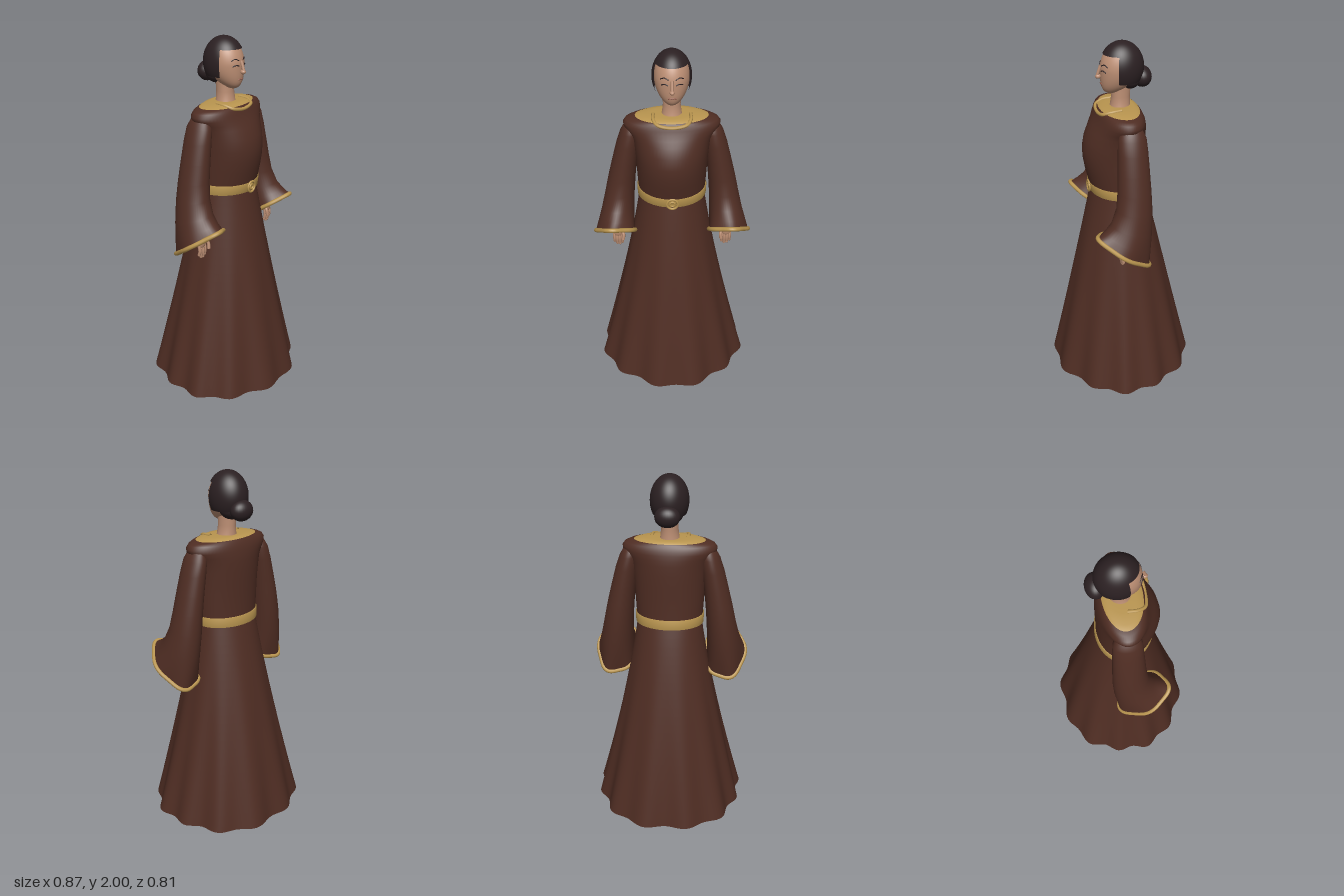
import * as THREE from 'three';

const V = (x, y, z) => new THREE.Vector3(x, y, z);
const paint = (name, color, side = THREE.FrontSide) => {
  const m = new THREE.MeshStandardMaterial({ color, side });
  m.name = name;
  return m;
};

// Closed-ring loft: point(j, a) gives the ring point at angle a; rings run upward
function loft(rings, sides, point) {
  const pos = [], idx = [];
  for (let j = 0; j < rings; j++) {
    for (let i = 0; i < sides; i++) {
      const p = point(j, (i / sides) * Math.PI * 2);
      pos.push(p.x, p.y, p.z);
      if (j === rings - 1) continue;
      const n = (i + 1) % sides, a = j * sides + i, b = j * sides + n;
      idx.push(a, a + sides, b, b, a + sides, b + sides);
    }
  }
  const g = new THREE.BufferGeometry();
  g.setAttribute('position', new THREE.Float32BufferAttribute(pos, 3));
  g.setIndex(idx);
  g.computeVertexNormals();
  return g;
}

// Horizontal oval with separate front and back depth; row = [y, halfWidth, front, back]
const oval = ([y, w, f, b], a) => V(w * Math.cos(a), y, Math.sin(a) * (Math.sin(a) > 0 ? f : b));
const ovalLoft = (rows, sides = 64) => loft(rows.length, sides, (j, a) => oval(rows[j], a));
const tube = (pts, r, closed = false, n = 24) =>
  new THREE.TubeGeometry(new THREE.CatmullRomCurve3(pts, closed), n, r, 8, closed);

// Face surface rules, shared by the head and its features
const FACE_Y = 1.868;
const jaw = (Y) => (Y < 0 ? 1 - 0.12 * Y * Y : 1);
const faceDepth = (Y, Z) => 0.1 * Z + (Y < 0 ? 0.045 * Y * Y : -0.012 * Y);
function onFace(x, y, lift = 0) {
  const Y = (y - FACE_Y) / 0.13, X = x / (0.088 * jaw(Y));
  return V(x, y, faceDepth(Y, Math.sqrt(Math.max(0, 1 - X * X - Y * Y))) + lift);
}

export function createModel() {
  const model = new THREE.Group();
  model.name = 'robedFigure';
  const robe = paint('brown robe', 0x4f2d23, THREE.DoubleSide);
  const gold = paint('gold trim', 0xb9954f, THREE.DoubleSide);
  const skin = paint('skin', 0xbd8f74);
  const hair = paint('dark hair', 0x2b2022, THREE.DoubleSide);
  const lip = paint('lips', 0x96604f);

  const add = (name, geo, mat, parent = model) => {
    const m = new THREE.Mesh(geo, mat);
    m.name = name;
    parent.add(m);
    return m;
  };
  const ball = (name, mat, p, r, parent = model) => {
    const m = add(name, new THREE.SphereGeometry(1, 28, 20), mat, parent);
    m.position.set(...p);
    m.scale.set(...r);
    return m;
  };

  // Skirt with folds that deepen towards the hem
  add('skirt', loft(25, 144, (j, a) => {
    const t = 1 - j / 24;
    const p = oval([1.2 - 1.15 * t, 0.178 + 0.247 * t ** 1.15, 0.16 + 0.24 * t, 0.135 + 0.27 * t ** 0.95], a);
    const fold = 1 + t ** 1.6 * (0.034 * Math.sin(12 * a + 0.6 * Math.sin(2 * a) - 1.2) + 0.018 * Math.sin(5 * a + 0.5));
    return V(p.x * fold, p.y, p.z * fold);
  }), robe);

  // Bodice with padded shoulders
  add('bodice', ovalLoft([
    [1.19, 0.178, 0.158, 0.134], [1.25, 0.181, 0.17, 0.132], [1.32, 0.185, 0.187, 0.13],
    [1.38, 0.188, 0.197, 0.13], [1.44, 0.192, 0.2, 0.13], [1.5, 0.2, 0.188, 0.13],
    [1.55, 0.21, 0.165, 0.128], [1.58, 0.228, 0.148, 0.125], [1.605, 0.246, 0.135, 0.12],
    [1.625, 0.25, 0.126, 0.115], [1.643, 0.237, 0.119, 0.107], [1.654, 0.212, 0.113, 0.1], [1.659, 0.188, 0.107, 0.095],
  ]), robe);

  // Gold yoke and neckline band
  add('yoke', ovalLoft([
    [1.658, 0.19, 0.108, 0.096], [1.667, 0.16, 0.094, 0.086], [1.671, 0.1, 0.07, 0.07], [1.671, 0.03, 0.02, 0.03],
  ]), gold);
  add('necklineBand', tube([
    V(-0.095, 1.672, 0.015), V(-0.095, 1.667, 0.07), V(-0.075, 1.654, 0.107), V(0, 1.642, 0.118),
    V(0.075, 1.654, 0.107), V(0.095, 1.667, 0.07), V(0.095, 1.672, 0.015),
  ], 0.009, false, 40), gold);

  // Belt with round buckle
  add('belt', ovalLoft([
    [1.196, 0.178, 0.158, 0.134], [1.198, 0.186, 0.168, 0.142], [1.248, 0.188, 0.176, 0.14], [1.25, 0.178, 0.166, 0.13],
  ]), gold);
  for (const [r, w] of [[0.029, 0.006], [0.013, 0.005]]) {
    add('buckleRing', new THREE.TorusGeometry(r, w, 10, 32), gold).position.set(0, 1.222, 0.174);
  }

  // Neck and head
  add('neck', ovalLoft([
    [1.64, 0.062, 0.06, 0.06], [1.675, 0.05, 0.048, 0.055], [1.72, 0.045, 0.042, 0.055], [1.8, 0.047, 0.045, 0.06],
  ], 32), skin);
  const headGeo = new THREE.SphereGeometry(1, 48, 36);
  const hp = headGeo.attributes.position;
  for (let i = 0; i < hp.count; i++) {
    const Y = hp.getY(i);
    hp.setXYZ(i, 0.088 * jaw(Y) * hp.getX(i), FACE_Y + 0.13 * Y, faceDepth(Y, hp.getZ(i)));
  }
  headGeo.computeVertexNormals();
  add('head', headGeo, skin);

  // Nose, closed eyes, brows and mouth
  add('noseBridge', tube([onFace(0, 1.885), onFace(0, 1.855, 0.008), onFace(0, 1.832, 0.016)], 0.008), skin);
  ball('noseTip', skin, [0, 1.83, 0.11], [0.013, 0.012, 0.015]);
  for (const s of [-1, 1]) {
    const line = (name, pts, r) => add(name, tube(pts.map(([x, y]) => onFace(s * x, y, 0.001)), r), hair);
    line('closedEye', [[0.018, 1.861], [0.034, 1.866], [0.052, 1.859]], 0.0028);
    line('brow', [[0.016, 1.887], [0.036, 1.896], [0.056, 1.887]], 0.0026);
  }
  add('mouth', tube([-0.02, -0.008, 0, 0.008, 0.02].map((x, i) => onFace(x, 1.789 + [0, 0.003, 0.001, 0.003, 0][i])), 0.004), lip);

  // Hair: crown, back and sides, bun
  const hairParts = [
    ['hairCrown', 0, Math.PI * 2, 0, 0.99],
    ['hairBack', Math.PI - 0.37, Math.PI + 0.74, 0.98, 1.12],
  ];
  for (const [name, p0, pl, t0, tl] of hairParts) {
    const m = add(name, new THREE.SphereGeometry(1, 48, 20, p0, pl, t0, tl), hair);
    m.position.set(0, 1.868, -0.012);
    m.scale.set(0.1, 0.132, 0.114);
  }
  ball('hairNape', hair, [0, 1.81, -0.05], [0.075, 0.055, 0.06]);
  ball('hairBun', hair, [0, 1.81, -0.118], [0.065, 0.054, 0.05]);

  for (const s of [-1, 1]) {
    const side = s > 0 ? 'left' : 'right';

    // Sleeve rings from cuff to shoulder: centre x y z, half width, depth, tilt
    const rows = [
      [0.31, 0.98, 0.068, 0.108, 0.135, 0.096], [0.306, 1.03, 0.045, 0.1, 0.122, 0.07],
      [0.297, 1.1, 0.02, 0.09, 0.108, 0.035], [0.283, 1.2, 0.002, 0.08, 0.095, 0.01],
      [0.268, 1.3, -0.002, 0.073, 0.088, 0], [0.25, 1.4, -0.003, 0.066, 0.083, 0],
      [0.23, 1.5, -0.004, 0.06, 0.078, 0], [0.214, 1.57, -0.004, 0.052, 0.073, 0],
      [0.205, 1.61, -0.004, 0.038, 0.055, 0], [0.2, 1.625, -0.004, 0.01, 0.015, 0],
    ];
    const sleevePoint = (j, a) => {
      const [x, y, z, w, d, tilt] = rows[j];
      const b = s > 0 ? a : Math.PI - a; // mirrored ripple
      const k = 1 + (j === 0 ? 0.045 : j === 1 ? 0.02 : 0) * Math.sin(5 * b + 1);
      return V(s * x + w * k * Math.cos(a), y + tilt * k * Math.sin(a), z + d * k * Math.sin(a));
    };
    add(side + 'Sleeve', loft(rows.length, 48, sleevePoint), robe);
    const rim = Array.from({ length: 32 }, (_, i) => sleevePoint(0, (i / 32) * Math.PI * 2));
    add(side + 'CuffTrim', tube(rim, 0.012, true, 96), gold);

    // Forearm and hand
    const hand = new THREE.Group();
    hand.name = side + 'Hand';
    model.add(hand);
    add('forearm', tube([V(s * 0.275, 1.3, 0), V(s * 0.288, 1.15, 0.02), V(s * 0.3, 1.0, 0.06)], 0.027), skin, hand);
    ball('palm', skin, [s * 0.301, 0.98, 0.068], [0.032, 0.045, 0.021], hand);
    for (let i = 0; i < 4; i++) {
      const x = s * (0.279 + i * 0.0145), tip = [0.9, 0.89, 0.893, 0.908][i];
      add('finger', tube([V(x, 0.97, 0.07), V(x, 0.93, 0.077), V(x, tip, 0.072)], 0.0085, false, 10), skin, hand);
      ball('fingertip', skin, [x, tip, 0.072], [0.0085, 0.009, 0.0085], hand);
    }
    add('thumb', tube([V(s * 0.28, 0.995, 0.075), V(s * 0.27, 0.965, 0.092), V(s * 0.273, 0.935, 0.098)], 0.009, false, 10), skin, hand);

    // Leg, foot and sandal sole
    const leg = ovalLoft([
      [0.03, 0.032, 0.045, 0.04], [0.09, 0.03, 0.032, 0.034], [0.2, 0.035, 0.036, 0.042],
      [0.38, 0.05, 0.048, 0.055], [0.6, 0.055, 0.055, 0.055], [1.1, 0.075, 0.075, 0.075],
    ], 24);
    add(side + 'Leg', leg, skin).position.set(s * 0.1, 0, -0.01);
    ball(side + 'Foot', skin, [s * 0.11, 0.032, 0.07], [0.036, 0.026, 0.115]).rotation.set(0.12, s * 0.08, 0);
    const sole = add(side + 'Sole', new THREE.CylinderGeometry(1, 1, 1, 40), gold);
    sole.position.set(s * 0.112, 0.006, 0.068);
    sole.scale.set(0.046, 0.012, 0.142);
    sole.rotation.y = s * 0.06;
    // Sandal strap
    add(side + 'SandalStrap', tube([
      V(s * 0.072, 0.012, 0.11), V(s * 0.09, 0.045, 0.12), V(s * 0.115, 0.052, 0.125), V(s * 0.155, 0.012, 0.11),
    ], 0.006), gold);
  }
  return model;
}
